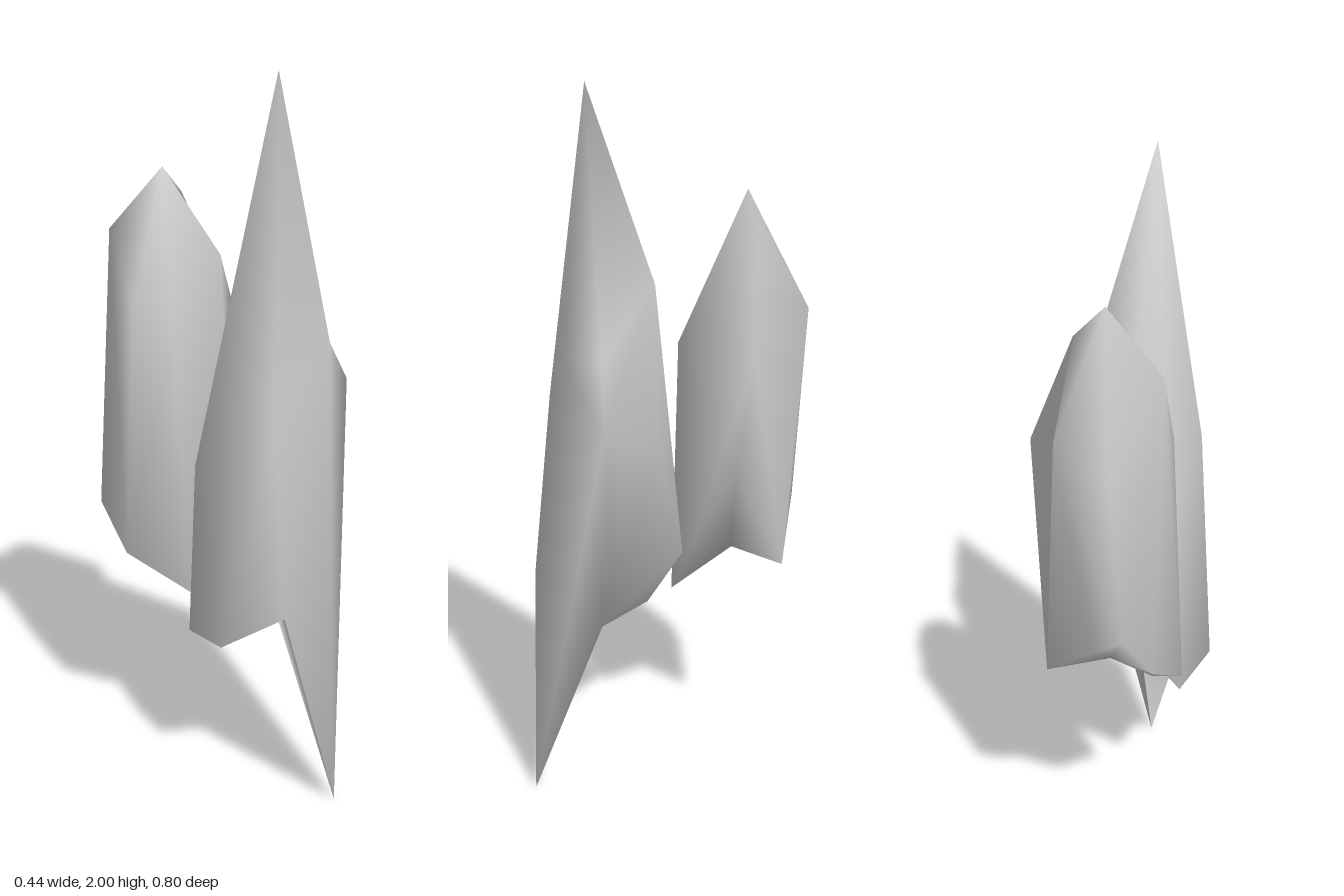
import * as THREE from 'three';

// A shard: lower rim and shoulder ring (counter-clockwise from above),
// closed by a peak above and a hub in the underside.
function makeShard(name, lower, upper, peak, hub) {
  const n = lower.length;
  const points = [...lower, ...upper, peak, hub].map(p => new THREE.Vector3(...p));
  const index = [];
  const plane = new THREE.Plane();
  for (let i = 0; i < n; i++) {
    const j = (i + 1) % n;
    const a = i, b = j, c = n + j, d = n + i;
    // pick the diagonal that makes each side facet bulge outward
    plane.setFromCoplanarPoints(points[a], points[b], points[c]);
    if (plane.distanceToPoint(points[d]) <= 0) index.push(a, b, c, a, c, d);
    else index.push(a, b, d, b, c, d);
    index.push(d, c, 2 * n);
    index.push(b, a, 2 * n + 1);
  }
  const geometry = new THREE.BufferGeometry().setFromPoints(points);
  geometry.setIndex(index);
  geometry.computeVertexNormals();
  const mesh = new THREE.Mesh(
    geometry,
    new THREE.MeshStandardMaterial({ color: 0xcccccc, side: THREE.DoubleSide })
  );
  mesh.name = name;
  return mesh;
}

export function createModel() {
  const group = new THREE.Group();
  group.name = 'rockShards';

  // tall front shard with a spike reaching the ground
  group.add(makeShard('frontShard',
    [[0, 0, 0.4], [0.22, 1.16, 0.24], [0.18, 1.07, 0.08], [0.03, 0.7, -0.04],
      [-0.16, 0.46, 0], [-0.22, 0.49, 0.17], [-0.16, 0.61, 0.34]],
    [[0.06, 1.31, 0.3], [0.13, 1.32, 0.22], [0.09, 1.5, 0.06], [0.02, 0.98, -0.005],
      [-0.12, 0.94, -0.01], [-0.18, 1.2, 0.16], [-0.145, 1.15, 0.285]],
    [-0.04, 2, 0.2], [0, 0.49, 0.19]));

  // shorter floating shard behind it
  group.add(makeShard('backShard',
    [[0.085, 0.75, -0.05], [0.12, 0.95, -0.16], [0.155, 0.68, -0.29], [0, 0.82, -0.385],
      [-0.08, 0.87, -0.402], [-0.15, 0.75, -0.35], [-0.2, 0.65, -0.2], [-0.09, 0.53, -0.05]],
    [[0.07, 1.48, -0.085], [0.215, 1.31, -0.17], [0.08, 1.63, -0.235], [0.1, 1.4, -0.37],
      [-0.04, 1.3, -0.383], [-0.155, 1.56, -0.28], [-0.165, 1.36, -0.19], [-0.12, 1.27, -0.08]],
    [0, 1.71, -0.23], [0, 0.68, -0.2]));

  return group;
}
